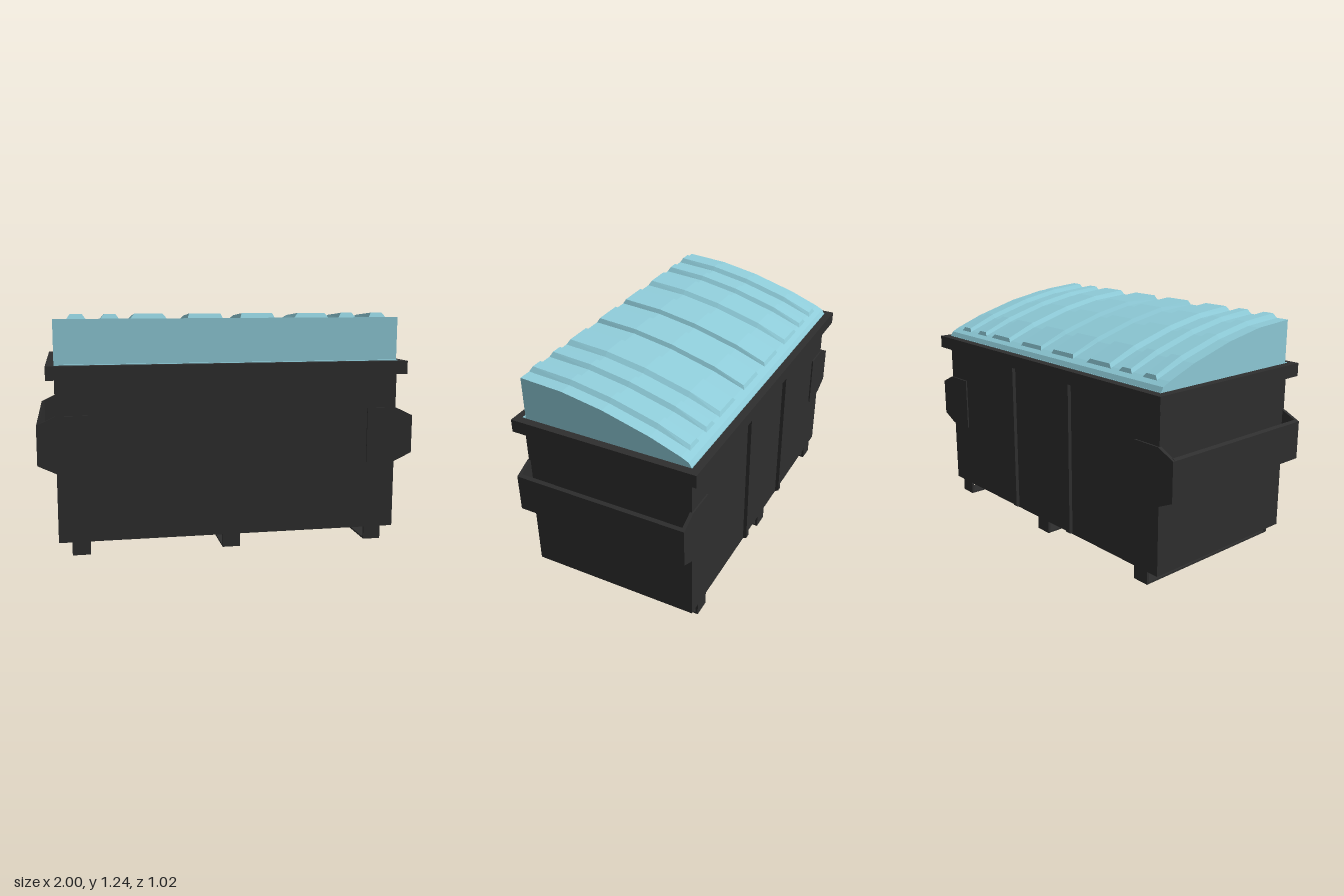
import * as THREE from 'three';

// Lid profile as [z, y], from the tall front to the low back
const LID = [[0.452, 1.215], [0.22, 1.2], [0, 1.16], [-0.25, 1.09], [-0.41, 1.03], [-0.45, 1.01], [-0.466, 0.985]];

export function createModel() {
  const model = new THREE.Group();
  const steel = new THREE.MeshStandardMaterial({ color: 0x2e2e2e });
  steel.name = 'dark steel';
  const plastic = new THREE.MeshStandardMaterial({ color: 0x8ecbd8 });
  plastic.name = 'pale blue plastic';

  const add = (name, geometry, material) => {
    const mesh = new THREE.Mesh(geometry, material);
    mesh.name = name;
    model.add(mesh);
    return mesh;
  };
  // Box given by its minimum and maximum on each axis
  const box = (name, x0, x1, y0, y1, z0, z1, material = steel) =>
    add(name, new THREE.BoxGeometry(x1 - x0, y1 - y0, z1 - z0)
      .translate((x0 + x1) / 2, (y0 + y1) / 2, (z0 + z1) / 2), material);
  const extrude = (points, depth) => new THREE.ExtrudeGeometry(
    new THREE.Shape(points.map(([x, y]) => new THREE.Vector2(x, y))),
    { depth, bevelEnabled: false });

  // Container and rim
  box('container', -0.905, 0.905, 0.07, 0.92, -0.466, 0.466);
  box('rim', -0.947, 0.947, 0.915, 0.985, -0.51, 0.51);

  // Skids: a thin runner with an upright at each end
  for (const x of [-0.79, 0, 0.79]) {
    box('skidRunner', x - 0.047, x + 0.047, 0, 0.009, -0.466, 0.466);
    for (const z of [-0.459, 0.459]) box('skidUpright', x - 0.047, x + 0.047, 0, 0.075, z - 0.007, z + 0.007);
  }

  // Lifting pockets on both sides, open at top and bottom
  const flange = [[0.745, 0.435], [0.905, 0.435], [1, 0.48], [1, 0.685], [0.905, 0.73], [0.745, 0.73]];
  const panel = [[0.983, 0.471], [1, 0.48], [1, 0.685], [0.983, 0.694]];
  for (const side of [0, Math.PI]) {
    for (const z of [-0.474, 0.456]) {
      add('pocketFlange', extrude(flange, 0.018).translate(0, 0, z).rotateY(side), steel);
    }
    add('pocketPanel', extrude(panel, 0.92).translate(0, 0, -0.46).rotateY(side), steel);
  }

  // Upright stiffeners on the back
  for (const x of [-0.245, 0.245]) {
    const profile = [[-0.46, 0.07], [-0.46, 0.915], [-0.486, 0.915], [-0.486, 0.08], [-0.466, 0.07]];
    add('backStiffener', extrude(profile, 0.03).rotateY(-Math.PI / 2).translate(x + 0.015, 0, 0), steel);
  }

  // Curved lid with a thin lip around its foot
  const lidProfile = [[-0.466, 0.98], [0.452, 0.98], ...LID];
  add('lid', extrude(lidProfile, 1.81).rotateY(-Math.PI / 2).translate(0.905, 0, 0), plastic);
  box('lidLip', -0.905, 0.905, 0.98, 0.988, -0.467, 0.47, plastic);

  // Raised lid ribs: centre, half width, bevel
  const ribs = [[0.137, 0.091, 0.01], [0.427, 0.092, 0.02], [0.622, 0.046, 0.017], [0.789, 0.047, 0.017]];
  for (const [centre, half, bevel] of ribs) {
    for (const s of [-1, 1]) add('lidRib', ribGeometry(s * centre, half, bevel), plastic);
  }
  return model;
}

// Bevelled rib that follows the lid profile
function ribGeometry(x, half, bevel) {
  const spine = [...LID.slice(0, 4), [-0.422, 1.024]];
  const sections = spine.map(([z, y], i) => {
    const inset = i === 0 ? -0.013 : i === spine.length - 1 ? 0.008 : 0;
    const top = y + 0.022 - inset * 0.15;
    return [
      [x - half, y, z], [x - half + bevel, top, z + inset],
      [x + half - bevel, top, z + inset], [x + half, y, z],
    ];
  });
  const positions = [];
  const quad = (a, b, c, d) => positions.push(...a, ...b, ...c, ...a, ...c, ...d);
  for (let i = 0; i < sections.length - 1; i++) {
    const a = sections[i], b = sections[i + 1];
    for (let j = 0; j < 3; j++) quad(a[j], a[j + 1], b[j + 1], b[j]);
  }
  const first = sections[0], last = sections[sections.length - 1];
  quad(first[0], first[3], first[2], first[1]);
  quad(last[0], last[1], last[2], last[3]);
  const geometry = new THREE.BufferGeometry();
  geometry.setAttribute('position', new THREE.Float32BufferAttribute(positions, 3));
  geometry.computeVertexNormals();
  return geometry;
}
